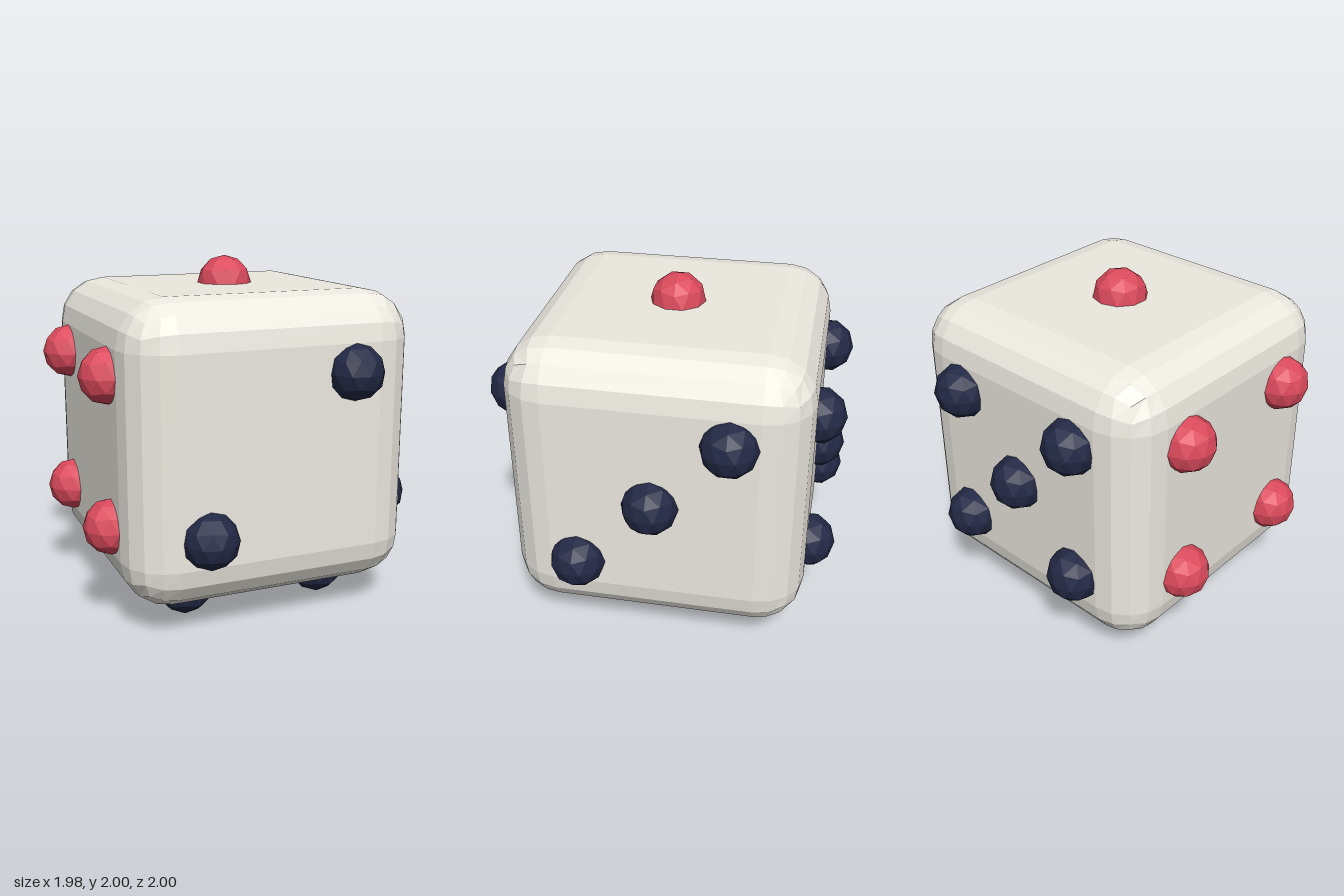
import * as THREE from 'three';

const HALF = 0.842;   // half width of the cube body
const BEVEL = 0.263;  // radius of the rounded edges
const PIP = 0.158;    // pip radius
const STEP = 0.421;   // pip spacing

// Cube whose five-cell grid is bent into flat faces, four-band edges and round corners
function roundedCube() {
  const geometry = new THREE.BoxGeometry(5, 5, 5, 5, 5, 5);
  const pos = geometry.attributes.position;
  const p = new THREE.Vector3();
  const bend = (c) => Math.sign(c) * Math.tan((Math.abs(c) - 0.5) * Math.PI / 8);
  for (let i = 0; i < pos.count; i++) {
    p.fromBufferAttribute(pos, i);
    const n = new THREE.Vector3(bend(p.x), bend(p.y), bend(p.z)).normalize();
    const inner = HALF - BEVEL;
    pos.setXYZ(i,
      Math.sign(p.x) * inner + n.x * BEVEL,
      Math.sign(p.y) * inner + n.y * BEVEL,
      Math.sign(p.z) * inner + n.z * BEVEL);
  }
  geometry.computeVertexNormals();
  return geometry;
}

export function createModel() {
  const model = new THREE.Group();
  model.name = 'die';
  const material = (color) => new THREE.MeshStandardMaterial({ color, flatShading: true });
  const ivory = material(0xece9e0);
  const navy = material(0x232946);
  const red = material(0xdb4a5c);

  // Body
  const body = new THREE.Mesh(roundedCube(), ivory);
  body.name = 'body';
  body.position.y = 1;
  model.add(body);

  // Faceted pip ball with a corner pointing straight up
  const pip = new THREE.IcosahedronGeometry(PIP, 1);
  pip.rotateZ(-Math.atan(2 / (1 + Math.sqrt(5))));

  // Pips per face, as grid steps (u, v) placed on the face plane
  const corners = [[-1, -1], [-1, 1], [1, -1], [1, 1]];
  const faces = [
    { name: 'topPip', mat: red, at: (u, v) => [u, HALF, v], pips: [[0, 0]] },
    { name: 'frontPip', mat: navy, at: (u, v) => [u, v, HALF], pips: [[1, 1], [-1, -1]] },
    { name: 'leftPip', mat: navy, at: (u, v) => [HALF, v, u], pips: [[-1, 1], [0, 0], [1, -1]] },
    { name: 'rightPip', mat: red, at: (u, v) => [-HALF, v, u], pips: corners },
    { name: 'backPip', mat: navy, at: (u, v) => [u, v, -HALF], pips: [...corners, [0, 0]] },
    { name: 'bottomPip', mat: navy, at: (u, v) => [u, -HALF, v], pips: [...corners, [-1, 0], [1, 0]] },
  ];
  for (const { name, mat, at, pips } of faces) {
    const group = new THREE.Group();
    group.name = name + 's';
    group.position.y = 1;
    pips.forEach(([u, v], i) => {
      const mesh = new THREE.Mesh(pip, mat);
      mesh.name = name + (i + 1);
      mesh.position.set(...at(u * STEP, v * STEP));
      group.add(mesh);
    });
    model.add(group);
  }
  return model;
}
